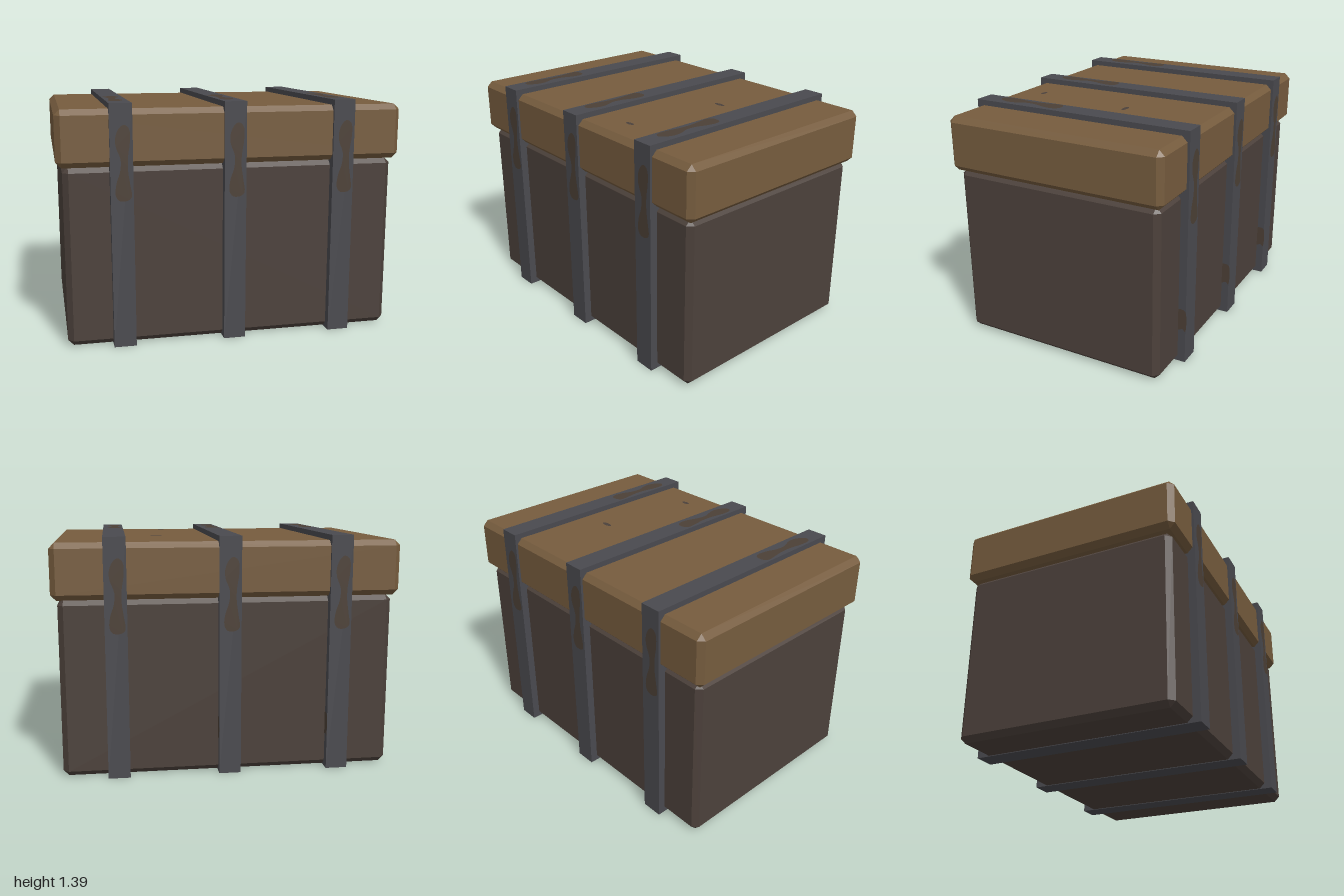
import * as THREE from 'three';
import { ConvexGeometry } from 'three/addons/geometries/ConvexGeometry.js';

const paint = (name, color) => {
  const m = new THREE.MeshStandardMaterial({ color });
  m.name = name;
  return m;
};

// Box with every edge and corner cut off by c
function chamferBox(w, h, d, c) {
  const pts = [];
  for (const sx of [-1, 1]) for (const sy of [-1, 1]) for (const sz of [-1, 1]) {
    const x = w / 2, y = h / 2, z = d / 2;
    pts.push(
      new THREE.Vector3(sx * x, sy * (y - c), sz * (z - c)),
      new THREE.Vector3(sx * (x - c), sy * y, sz * (z - c)),
      new THREE.Vector3(sx * (x - c), sy * (y - c), sz * z));
  }
  return new ConvexGeometry(pts);
}

// Flat plate with a smooth closed outline, facing +z
function blob(points) {
  const shape = new THREE.Shape();
  shape.setFromPoints(new THREE.CatmullRomCurve3(
    points.map(([x, y]) => new THREE.Vector3(x, y, 0)), true).getPoints(48).slice(0, -1));
  return new THREE.ShapeGeometry(shape);
}

export function createModel() {
  const model = new THREE.Group();
  model.name = 'strappedChest';
  const darkWood = paint('darkWood', 0x4c413b);
  const lidWood = paint('lidWood', 0x765c3e);
  const iron = paint('iron', 0x4a4a4f);
  const rust = paint('rust', 0x4c4036);

  const add = (name, geometry, material, x, y, z, parent = model) => {
    const mesh = new THREE.Mesh(geometry, material);
    mesh.name = name;
    mesh.position.set(x, y, z);
    parent.add(mesh);
    return mesh;
  };

  // Body and overhanging lid
  add('body', chamferBox(1.93, 1.032, 1.29, 0.032), darkWood, 0, 0.52, 0);
  add('lid', chamferBox(2, 0.32, 1.354, 0.032), lidWood, 0, 1.195, 0);

  // Long wavy rust stain, centred on its own middle
  const stain = blob([
    [0.015, 0.21], [0.043, 0.19], [0.048, 0.12], [0.035, 0.03], [0.034, -0.04],
    [0.045, -0.12], [0.052, -0.19], [0.03, -0.21], [-0.015, -0.21], [-0.036, -0.18],
    [-0.03, -0.11], [-0.01, -0.05], [-0.005, 0.02], [-0.03, 0.09], [-0.032, 0.14], [-0.012, 0.19]]);
  const sideStain = blob([
    [-0.022, -0.065], [0.005, -0.055], [0.022, -0.07], [0.022, 0.06], [0, 0.07], [-0.022, 0.065]]);

  // Iron straps wrapping the chest, each with rust
  for (const x of [-0.645, -0.002, 0.643]) {
    const strap = new THREE.Group();
    strap.name = 'strap';
    strap.position.x = x;
    model.add(strap);
    add('strapBand', new THREE.BoxGeometry(0.127, 1.387, 1.382), iron, 0, 0.6935, 0, strap);
    add('frontRust', stain, rust, 0, 1.06, 0.693, strap);
    add('backRust', stain, rust, 0, 1.06, -0.693, strap).rotation.y = Math.PI;
    add('topRust', stain, rust, 0, 1.389, 0.36, strap).rotation.set(-Math.PI / 2, 0, Math.PI);
    add('sideRust', sideStain, rust, 0.0655, 0.27, -0.667, strap).rotation.y = Math.PI / 2;
  }

  // Small dark knots in the lid
  for (const [x, z, rx, rz] of [[0.385, -0.128, 0.04, 0.015], [0.305, 0.496, 0.03, 0.014]]) {
    const knot = add('lidKnot', new THREE.CircleGeometry(1, 10), darkWood, x, 1.358, z);
    knot.scale.set(rx, rz, 1);
    knot.rotation.x = -Math.PI / 2;
  }
  return model;
}
